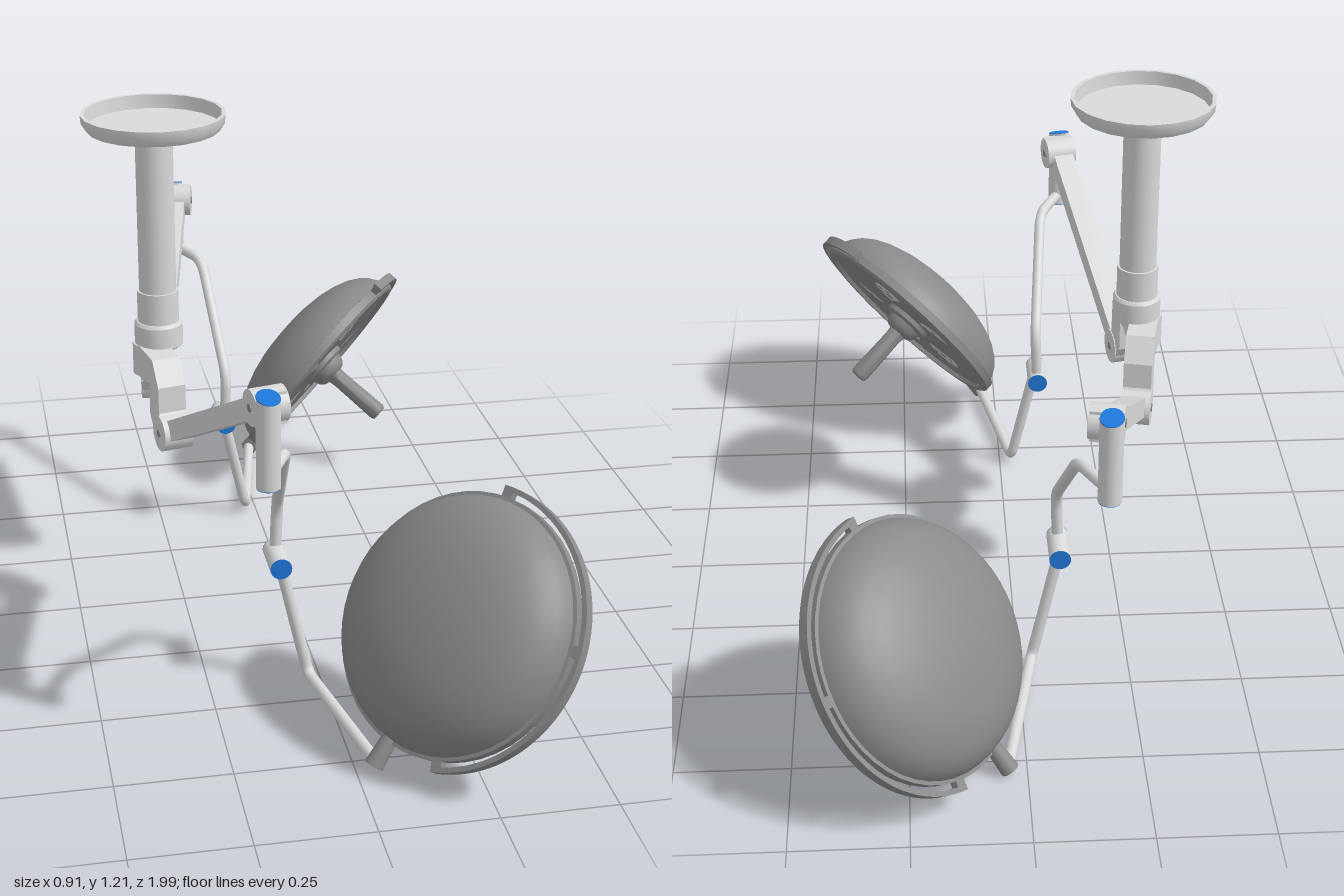
import * as THREE from 'three';
import { toCreasedNormals } from 'three/addons/utils/BufferGeometryUtils.js';

const V = (x, y, z) => new THREE.Vector3(x, y, z);
const paint = (name, color) => {
  const m = new THREE.MeshStandardMaterial({ color });
  m.name = name;
  return m;
};

export function createModel() {
  const light = paint('light grey enamel', 0xdadada);
  const grey = paint('housing grey', 0x8a8a8a);
  const blue = paint('blue caps', 0x1f78dc);
  const lensMat = paint('lens', 0xd0d0d0);

  const add = (parent, name, geo, mat) => {
    const m = new THREE.Mesh(geo, mat);
    m.name = name;
    parent.add(m);
    return m;
  };
  // Cylinder running from a to b
  const rod = (parent, name, a, b, r, mat, r2 = r) => {
    const d = b.clone().sub(a);
    const m = add(parent, name, new THREE.CylinderGeometry(r2, r, d.length(), 24), mat);
    m.position.copy(a).addScaledVector(d, 0.5);
    m.quaternion.setFromUnitVectors(V(0, 1, 0), d.normalize());
    return m;
  };
  const lathe = (pts, seg) => toCreasedNormals(
    new THREE.LatheGeometry(pts.map(p => new THREE.Vector2(p[0], p[1])), seg), 0.6);
  // Round tube along straight runs with rounded corners
  const bentTube = (parent, name, pts, bend, r) => {
    const path = new THREE.CurvePath();
    let from = pts[0];
    for (let i = 1; i < pts.length - 1; i++) {
      const p = pts[i];
      const a = p.clone().add(pts[i - 1].clone().sub(p).setLength(bend));
      const b = p.clone().add(pts[i + 1].clone().sub(p).setLength(bend));
      path.add(new THREE.LineCurve3(from, a));
      path.add(new THREE.QuadraticBezierCurve3(a, p, b));
      from = b;
    }
    path.add(new THREE.LineCurve3(from, pts[pts.length - 1]));
    return add(parent, name, new THREE.TubeGeometry(path, 64, r, 12), light);
  };

  // Lamp head, local +z is the lit face
  function lampHead() {
    const g = new THREE.Group();
    g.name = 'lampHead';
    const housing = lathe([[0, -0.125], [0.05, -0.123], [0.1, -0.118], [0.145, -0.109], [0.185, -0.096],
      [0.218, -0.08], [0.243, -0.061], [0.26, -0.041], [0.27, -0.022], [0.275, -0.006], [0.283, -0.005],
      [0.283, 0.016], [0.275, 0.022], [0.262, 0.022], [0.259, 0.012], [0, 0.012]], 48);
    add(g, 'housing', housing.rotateX(Math.PI / 2), grey);

    // Central hub and grip
    const hub = lathe([[0.066, 0.01], [0.064, 0.024], [0.05, 0.03], [0.046, 0.045], [0.036, 0.056],
      [0.024, 0.06], [0.022, 0.08], [0.024, 0.21], [0.02, 0.218], [0, 0.218]], 24);
    add(g, 'hubAndGrip', hub.rotateX(Math.PI / 2), grey);

    // Five lenses: position angle, direction of the visible part, its half angle
    const rad = Math.PI / 180;
    const lenses = [[76, 120, 115], [8, 75, 85], [-67, -105, 115], [-134, 0, 180], [156, 235, 65]];
    for (const [at, dir, half] of lenses) {
      const lens = new THREE.Group();
      lens.name = 'lens';
      lens.position.set(0.143 * Math.cos(at * rad), 0.143 * Math.sin(at * rad), 0.014);
      const s = new THREE.Shape();
      s.absarc(0, 0, 0.052, (dir - half) * rad, (dir + half) * rad, false);
      add(lens, 'lensPlate', new THREE.ShapeGeometry(s, 24), lensMat);
      for (let i = 0; i < 7; i++) {
        const r = i ? 0.034 : 0, a = i * 60 * rad, size = i ? 0.008 : 0.012;
        if (r * Math.cos(a - dir * rad) < 0.052 * Math.cos(half * rad) + size) continue;
        add(lens, 'bulb', new THREE.CircleGeometry(size, 10), grey)
          .position.set(r * Math.cos(a), r * Math.sin(a), 0.002);
      }
      g.add(lens);
    }

    // Half-ring guard rail with its three fixings
    const ring = new THREE.Shape();
    ring.absarc(0, 0, 0.306, 86 * rad, 253 * rad, false);
    ring.absarc(0, 0, 0.295, 253 * rad, 86 * rad, true);
    const rail = new THREE.ExtrudeGeometry(ring, { depth: 0.024, bevelEnabled: false, curveSegments: 32 });
    add(g, 'guardRail', toCreasedNormals(rail.translate(0, 0, -0.008), 0.6), grey);
    for (const a of [88, 170, 251]) {
      const tab = add(g, 'railFixing', new THREE.BoxGeometry(0.036, 0.024, 0.018), grey);
      tab.position.set(0.287 * Math.cos(a * rad), 0.287 * Math.sin(a * rad), 0.004);
      tab.rotation.z = a * rad;
    }

    // Swivel mount joining the head to its tube
    const c = Math.cos(-82 * rad), s = Math.sin(-82 * rad);
    rod(g, 'swivelMount', V(0.34 * c, 0.34 * s, 0), V(0.268 * c, 0.268 * s, 0), 0.021, grey, 0.017);
    return g;
  }

  // One complete side: bracket, spring arm, tubes and lamp
  function lampSide() {
    const side = new THREE.Group();

    // Bracket and arm lie in a vertical plane swung about the bracket's pivot
    const arm = new THREE.Group();
    arm.name = 'springArm';
    arm.position.x = -0.317;
    arm.rotation.y = 0.22;
    side.add(arm);
    rod(arm, 'bracketPivot', V(0, 0.605, 0), V(0, 0.678, 0), 0.038, light);
    const outline = [[0, 0.605], [0.05, 0.602], [0.06, 0.613], [0.085, 0.613], [0.085, 0.54], [0.112, 0.505],
      [0.149, 0.48], [0.175, 0.52], [0.146, 0.562], [0.144, 0.622], [0.108, 0.676], [0, 0.68]];
    const bracket = new THREE.ExtrudeGeometry(
      new THREE.Shape(outline.map(p => new THREE.Vector2(p[0], p[1]))), { depth: 0.064, bevelEnabled: false });
    add(arm, 'bracket', bracket.translate(0, 0, -0.032).rotateY(-Math.PI / 2), light);

    const A = V(0, 0.516, 0.149), B = V(0.006, 0.794, 0.68);
    for (const [p, w, r] of [[A, 0.034, 0.041], [B, 0.036, 0.038]]) {
      rod(arm, 'armJoint', V(p.x - w, p.y, p.z), V(p.x + w, p.y, p.z), r, light);
      rod(arm, 'jointPin', V(p.x - w - 0.002, p.y, p.z), V(p.x + w + 0.002, p.y, p.z), 0.009, grey);
    }
    const span = B.clone().sub(A);
    const beam = add(arm, 'armBeam', new THREE.BoxGeometry(0.05, 0.046, span.length()), light);
    beam.position.copy(A).addScaledVector(span, 0.5);
    beam.rotation.x = -Math.atan2(span.y, span.z);
    add(arm, 'elbowBlock', new THREE.BoxGeometry(0.066, 0.07, 0.03), light).position.set(0.006, 0.794, 0.69);

    // Vertical post with an outward-slanted top and blue end caps
    const slant = geo => {
      const p = geo.attributes.position;
      for (let i = 0; i < p.count; i++) if (p.getY(i) > 0) p.setY(i, p.getY(i) - 0.3 * p.getZ(i));
      return geo;
    };
    const post = new THREE.Group();
    post.name = 'post';
    post.position.set(-0.008, 0.636, 0.722);
    arm.add(post);
    const body = new THREE.CylinderGeometry(0.025, 0.025, 0.192, 24).translate(0, 0.096, 0);
    add(post, 'postBody', slant(body), light);
    const cap = new THREE.CylinderGeometry(0.0245, 0.025, 0.002, 24).translate(0, 0.193, 0);
    add(post, 'postTopCap', slant(cap), blue);
    rod(post, 'postBottomCap', V(0, -0.0015, 0), V(0, 0, 0), 0.0245, blue);

    // Upper tube, knuckle and lower tube
    bentTube(side, 'upperTube', [V(-0.165, 0.658, 0.7), V(-0.112, 0.655, 0.59),
      V(-0.087, 0.425, 0.358), V(-0.092, 0.3, 0.357)], 0.04, 0.013);
    rod(side, 'knuckle', V(-0.092, 0.3, 0.337), V(-0.092, 0.3, 0.434), 0.024, light);
    rod(side, 'knuckleInnerCap', V(-0.092, 0.3, 0.3355), V(-0.092, 0.3, 0.337), 0.024, blue);
    rod(side, 'knuckleOuterCap', V(-0.092, 0.3, 0.434), V(-0.092, 0.3, 0.4355), 0.024, blue);
    bentTube(side, 'lowerTube', [V(-0.09, 0.3, 0.412), V(-0.03, 0.028, 0.425),
      V(0.04, 0.028, 0.787)], 0.028, 0.013);

    const head = lampHead();
    head.position.set(0.223, 0.294, 0.722);
    head.lookAt(head.position.clone().add(V(0.68, -0.57, -0.46)));
    side.add(head);
    return side;
  }

  // Reflected copy in z with corner order restored
  function mirrored(source) {
    const copy = new THREE.Group();
    source.updateMatrixWorld(true);
    source.traverse(o => {
      if (!o.isMesh) return;
      const geo = o.geometry.clone().applyMatrix4(o.matrixWorld);
      const n = geo.index ? geo.index.count : geo.attributes.position.count;
      const idx = Array.from({ length: n }, (_, i) => (geo.index ? geo.index.getX(i) : i));
      for (let i = 0; i < n; i += 3) [idx[i + 1], idx[i + 2]] = [idx[i + 2], idx[i + 1]];
      geo.setIndex(idx);
      for (const key of ['position', 'normal']) {
        const at = geo.attributes[key];
        for (let i = 0; i < at.count; i++) at.setZ(i, -at.getZ(i));
      }
      add(copy, o.name, geo, o.material);
    });
    return copy;
  }

  const model = new THREE.Group();
  model.name = 'surgicalLight';

  // Ceiling column
  const column = new THREE.Group();
  column.name = 'ceilingColumn';
  column.position.x = -0.295;
  model.add(column);
  add(column, 'ceilingPlate', lathe([[0, 1.158], [0.048, 1.158], [0.09, 1.175], [0.147, 1.177], [0.158, 1.194],
    [0.16, 1.213], [0.151, 1.213], [0.148, 1.182], [0, 1.182]], 20), light);
  rod(column, 'columnTube', V(0, 0.79, 0), V(0, 1.165, 0), 0.042, light);
  rod(column, 'columnSleeve', V(0, 0.72, 0), V(0, 0.803, 0), 0.047, light);
  add(column, 'columnCollar', lathe([[0, 0.67], [0.05, 0.67], [0.055, 0.675],
    [0.055, 0.724], [0.05, 0.731], [0, 0.731]], 24), light);

  const front = lampSide();
  const back = mirrored(front);
  front.name = 'frontLamp';
  back.name = 'backLamp';
  model.add(front, back);
  return model;
}
